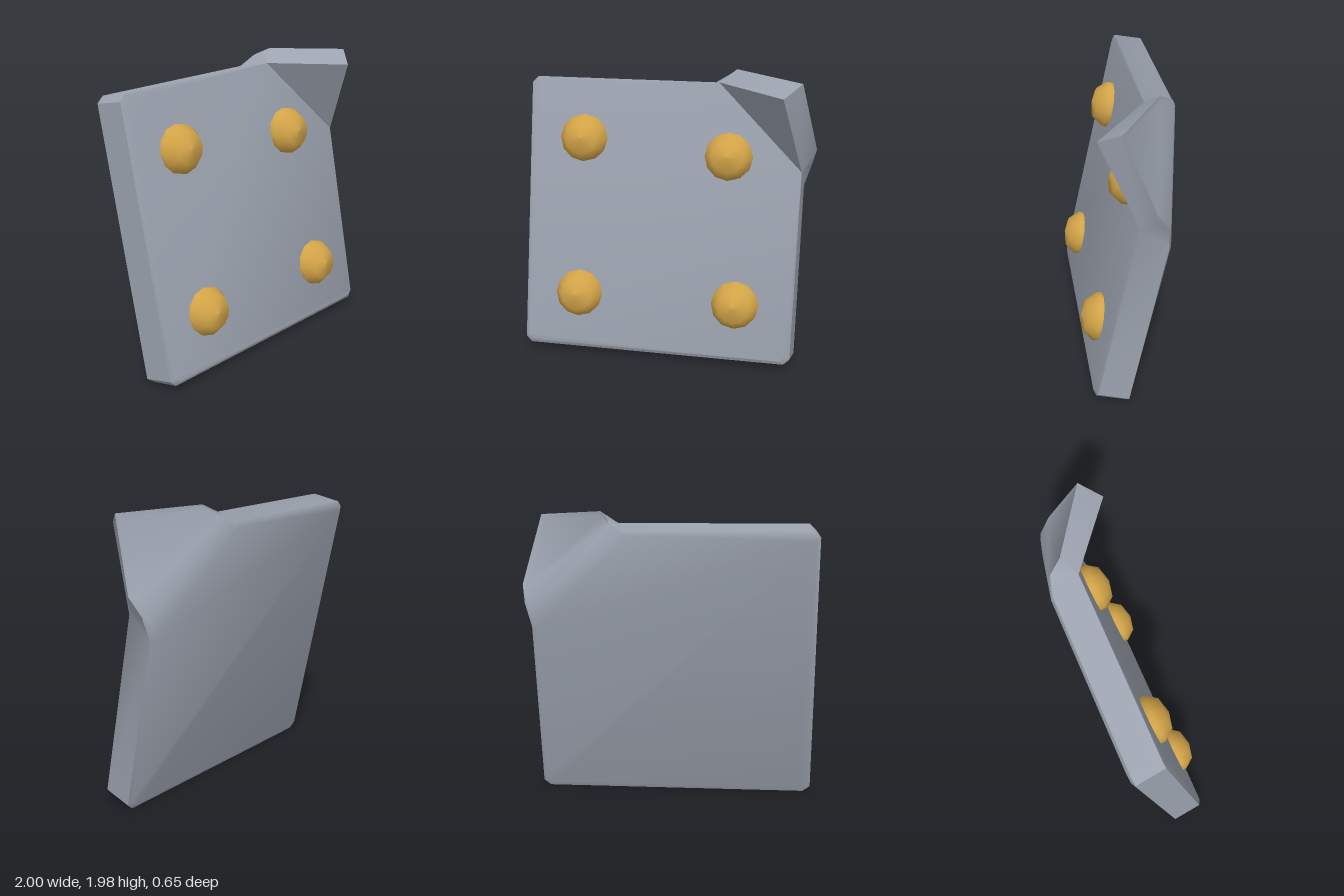
import * as THREE from 'three';
import { toCreasedNormals } from 'three/addons/utils/BufferGeometryUtils.js';

const TILT = 0.207;
const frontZ = (y) => 0.285 - 0.21 * y;
const backZ = (y) => 0.07 - 0.205 * y;

// Leaning slab with its upper left corner folded forward
function plateGeometry() {
  const V = (x, y, z) => new THREE.Vector3(x, y, z);
  const F = (x, y) => V(x, y, frontZ(y));
  const B = (x, y) => V(x, y, backZ(y));
  const foldTop = F(0.33, 1.9), foldSide = F(0.91, 1.34);
  const flapTip = V(0.79, 1.87, 0.24);

  // Matching rim corners, anticlockwise from the front: [front, back]
  const rim = [
    [F(-0.98, 0.09), B(-1, 0.04)],
    [F(-0.94, 0.05), B(-0.95, 0)],
    [F(0.86, 0.05), B(0.87, 0)],
    [F(0.9, 0.09), B(0.915, 0.04)],
    [foldSide, B(0.92, 1.2)],
    [foldSide, V(0.97, 1.36, -0.16)],
    [foldSide, V(1, 1.48, -0.08)],
    [flapTip, V(0.9, 1.95, 0.11)],
    [foldTop, V(0.44, 1.98, -0.19)],
    [foldTop, V(0.38, 1.93, -0.28)],
    [foldTop, B(0.27, 1.86)],
    [F(-0.94, 1.9), B(-0.95, 1.86)],
    [F(-0.98, 1.86), B(-1, 1.82)],
  ];
  const n = rim.length;
  const pos = [];
  const tri = (a, b, c) => {
    const area = b.clone().sub(a).cross(c.clone().sub(a)).length();
    if (area > 1e-7) for (const p of [a, b, c]) pos.push(p.x, p.y, p.z);
  };
  const quad = (a, b, c, d) => { tri(a, b, c); tri(a, c, d); };
  const fan = (p) => { for (let i = 1; i < p.length - 1; i++) tri(p[0], p[i], p[i + 1]); };

  // Rim wall
  for (let i = 0; i < n; i++) {
    const [f, b] = rim[i], [f2, b2] = rim[(i + 1) % n];
    quad(f, b, b2, f2);
  }

  // Front face with a soft lip, and the folded flap
  const frontLoop = [0, 1, 2, 3, 4, 10, 11, 12].map((i) => rim[i][0]);
  const inset = (p, dz) => p.clone().lerp(V(0, 0.95, p.z), 0.03).add(V(0, 0, dz));
  const frontIn = frontLoop.map((p) => (p === foldTop || p === foldSide ? p : inset(p, 0.015)));
  frontLoop.forEach((p, i) => {
    const j = (i + 1) % frontLoop.length;
    quad(p, frontLoop[j], frontIn[j], frontIn[i]);
  });
  fan(frontIn);
  tri(foldSide, flapTip, foldTop);

  // Back face with a soft lip, curving into the flap
  const backIn = rim.map(([, b]) => inset(b, -0.015));
  for (let i = 0; i < n; i++) {
    const j = (i + 1) % n;
    quad(rim[j][1], rim[i][1], backIn[i], backIn[j]);
  }
  fan([12, 11, 10, 4, 3, 2, 1, 0].map((i) => backIn[i]));
  for (let k = 0; k < 3; k++) {
    quad(backIn[10 - k], backIn[9 - k], backIn[5 + k], backIn[4 + k]);
  }

  const g = new THREE.BufferGeometry();
  g.setAttribute('position', new THREE.Float32BufferAttribute(pos, 3));
  return toCreasedNormals(g, 0.72);
}

export function createModel() {
  const model = new THREE.Group();
  model.name = 'bentPlate';
  const steel = new THREE.MeshStandardMaterial({ color: 0x9ca3af });
  steel.name = 'grey metal';
  const brass = new THREE.MeshStandardMaterial({ color: 0xd4a548 });
  brass.name = 'golden metal';

  const plate = new THREE.Mesh(plateGeometry(), steel);
  plate.name = 'plate';
  model.add(plate);

  // Domed studs standing square to the front face
  const profile = [[0.163, -0.03], [0.161, 0.03], [0.108, 0.1], [0, 0.125]]
    .map(([r, h]) => new THREE.Vector2(r, h));
  const studGeometry = new THREE.LatheGeometry(profile, 12);
  const studs = [
    ['upperRightStud', -0.59, 1.5],
    ['lowerRightStud', -0.59, 0.435],
    ['lowerLeftStud', 0.51, 0.435],
    ['upperLeftStud', 0.42, 1.42],
  ];
  for (const [name, x, y] of studs) {
    const stud = new THREE.Mesh(studGeometry, brass);
    stud.name = name;
    stud.position.set(x, y, frontZ(y) + 0.012);
    stud.rotation.x = Math.PI / 2 - TILT;
    model.add(stud);
  }
  return model;
}
